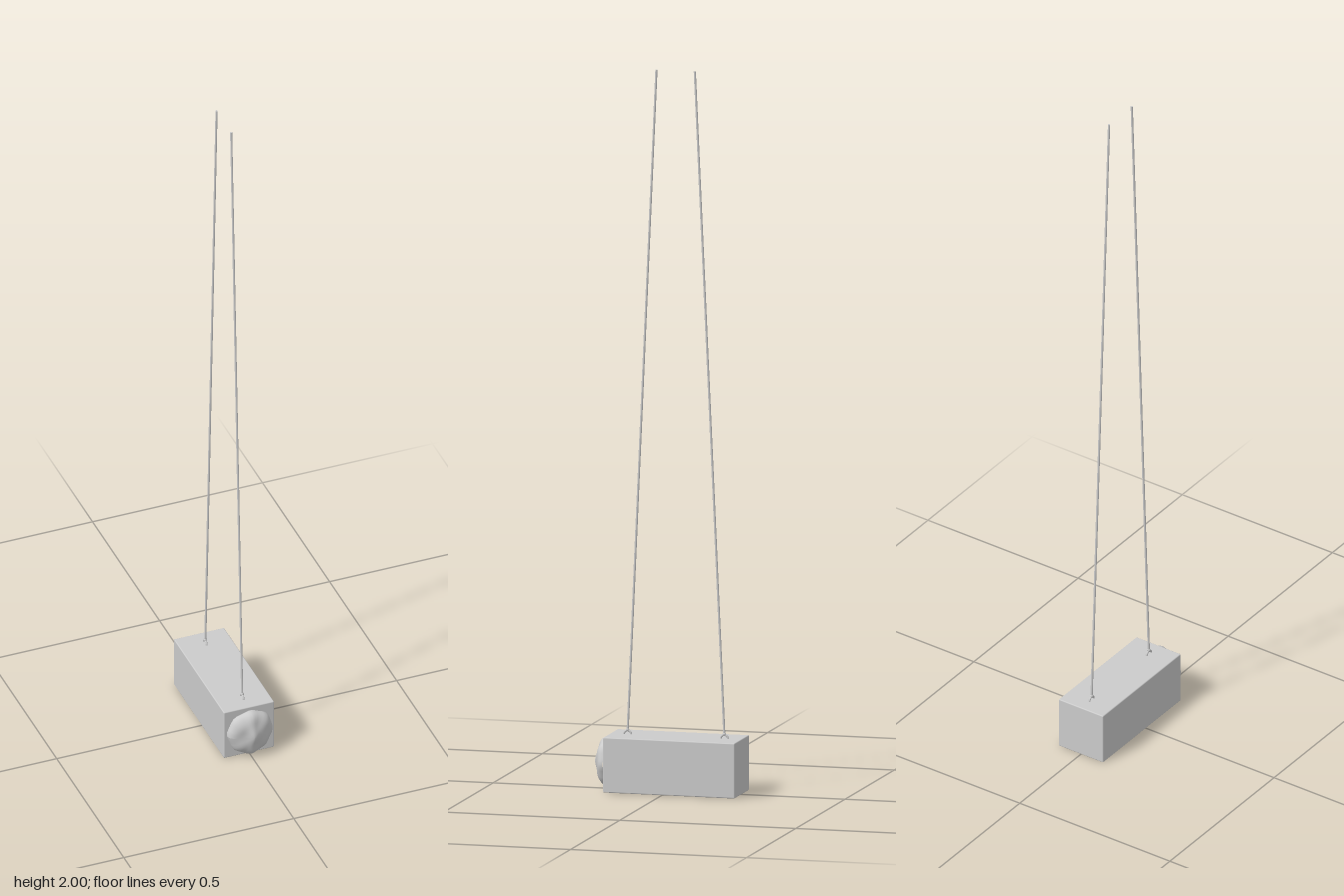
import * as THREE from 'three';
import { RoundedBoxGeometry } from 'three/addons/geometries/RoundedBoxGeometry.js';

const material = new THREE.MeshStandardMaterial({ color: 0xcccccc });

function addMesh(parent, name, geometry) {
  const mesh = new THREE.Mesh(geometry, material);
  mesh.name = name;
  parent.add(mesh);
  return mesh;
}

// Irregular lump: a hemisphere flattened along z, with a wavy rim and a dented face
function lumpGeometry() {
  const geometry = new THREE.SphereGeometry(1, 40, 24, 0, Math.PI * 2, 0, Math.PI / 2);
  geometry.rotateX(Math.PI / 2);
  const p = geometry.attributes.position;
  for (let i = 0; i < p.count; i++) {
    const x = p.getX(i), y = p.getY(i), z = p.getZ(i);
    const angle = Math.atan2(y, x);
    const r = Math.hypot(x, y);
    const wave = 1 + r * (0.025 * Math.cos(8 * angle + 0.4) + 0.02 * Math.sin(3 * angle));
    const ridge = 0.006 * Math.exp(-(x * x) / 0.05) * z;
    const dents = 0.0025 * Math.sin(5 * x + 1) * Math.cos(6 * y) * z;
    p.setXYZ(i, x * 0.065 * wave, y * 0.068 * wave, 0.031 * Math.pow(z, 0.8) + ridge + dents);
  }
  geometry.computeVertexNormals();
  return geometry;
}

export function createModel() {
  const model = new THREE.Group();
  model.name = 'hangingRam';

  // Square beam
  addMesh(model, 'beam', new RoundedBoxGeometry(0.148, 0.153, 0.374, 2, 0.003))
    .position.set(0, 0.0765, -0.02);

  // Lumpy striking head with a short collar
  addMesh(model, 'head', lumpGeometry()).position.set(0, 0.076, 0.17);
  const collar = addMesh(model, 'headCollar', new THREE.CylinderGeometry(0.065, 0.062, 0.006, 32));
  collar.rotation.x = Math.PI / 2;
  collar.position.set(0, 0.076, 0.167);

  // Two ropes leaning towards each other, each tied to an eye on the beam
  for (const [name, bottomZ, topZ] of [['front', 0.118, 0.036], ['back', -0.157, -0.073]]) {
    const bottom = new THREE.Vector3(-0.001, 0.16, bottomZ);
    const top = new THREE.Vector3(-0.001, 2, topZ);
    const rope = new THREE.LineCurve3(bottom, top);
    addMesh(model, name + 'Rope', new THREE.TubeGeometry(rope, 1, 0.0032, 8));
    const ropeEnd = addMesh(model, name + 'RopeEnd', new THREE.CircleGeometry(0.0032, 8));
    ropeEnd.rotation.x = -Math.PI / 2;
    ropeEnd.position.copy(top);

    const eye = addMesh(model, name + 'Eye', new THREE.TorusGeometry(0.01, 0.003, 8, 20, Math.PI));
    eye.rotation.y = Math.PI / 2;
    eye.position.set(-0.001, 0.153, bottomZ);
    const knot = addMesh(model, name + 'Knot', new THREE.SphereGeometry(0.005, 10, 8));
    knot.position.set(-0.001, 0.165, bottomZ);
  }
  return model;
}
